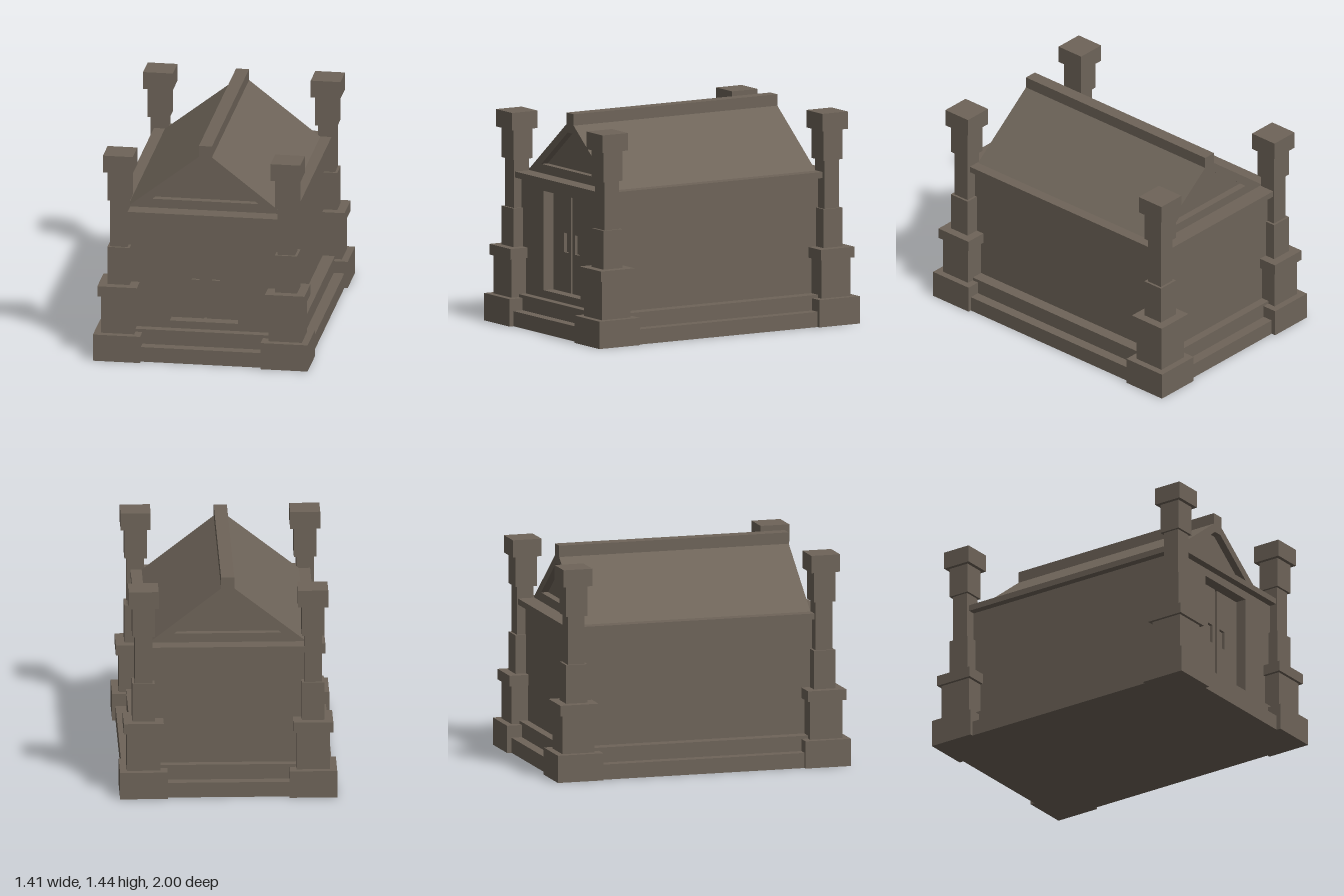
import * as THREE from 'three';

export function createModel() {
  const model = new THREE.Group();
  model.name = 'mausoleum';
  const stone = new THREE.MeshStandardMaterial({ color: 0x6e6459 });
  stone.name = 'weathered stone';

  function add(name, geometry, parent = model) {
    const mesh = new THREE.Mesh(geometry, stone);
    mesh.name = name;
    parent.add(mesh);
    return mesh;
  }
  // Box given by half width, y range and z range
  function block(name, hx, y0, y1, z0, z1, parent = model) {
    const mesh = add(name, new THREE.BoxGeometry(hx * 2, y1 - y0, z1 - z0), parent);
    mesh.position.set(0, (y0 + y1) / 2, (z0 + z1) / 2);
    return mesh;
  }
  const outline = (pts) => pts.map(([x, y]) => new THREE.Vector2(x, y));
  const rect = (x0, x1, y0, y1) => outline([[x0, y0], [x1, y0], [x1, y1], [x0, y1]]);
  // Upright plate with optional holes, from z0 to z1
  function plate(name, points, holes, z0, z1) {
    const shape = new THREE.Shape(points);
    for (const hole of holes) shape.holes.push(new THREE.Path(hole));
    const geometry = new THREE.ExtrudeGeometry(shape, { depth: z1 - z0, bevelEnabled: false });
    add(name, geometry).position.z = z0;
  }

  // Stepped plinth
  block('lowerStep', 0.685, 0, 0.1, -0.97, 0.97);
  block('upperStep', 0.615, 0.1, 0.2, -0.9, 0.9);

  // Chamber, with the doorway cut through the front wall
  const wallX = 0.535;
  block('chamber', wallX, 0.2, 0.96, -0.845, 0.75);
  plate('frontWall', rect(-wallX, wallX, 0.2, 0.96), [rect(-0.225, 0.225, 0.25, 0.905)], 0.75, 0.845);

  // Double doors with a gap between them and sunken handles
  for (const s of [-1, 1]) {
    const [a, b] = s < 0 ? [-0.225, -0.01] : [0.01, 0.225];
    const [c, d] = s < 0 ? [-0.093, -0.04] : [0.04, 0.093];
    plate(s < 0 ? 'rightDoor' : 'leftDoor', rect(a, b, 0.25, 0.905), [rect(c, d, 0.513, 0.64)], 0.75, 0.77);
  }

  // Cornice, gabled roof and ridge
  block('cornice', 0.585, 0.96, 1.0, -0.895, 0.895);
  const gable = outline([[-0.512, 1.0], [0.512, 1.0], [0.043, 1.365], [-0.043, 1.365]]);
  const panel = outline([[-0.35, 1.06], [0.35, 1.06], [0.03, 1.31], [-0.03, 1.31]]);
  plate('roof', gable, [], -0.735, 0.735);
  plate('frontPediment', gable, [panel], 0.735, 0.783);
  plate('backPediment', gable, [panel], -0.783, -0.735);
  block('ridge', 0.043, 1.365, 1.44, -0.783, 0.783);

  // Corner pillars: half width, bottom, top of each tier
  const tiers = [
    ['pillarBase', 0.155, 0, 0.18],
    ['pillarPedestal', 0.11, 0.18, 0.435],
    ['pillarBand', 0.13, 0.435, 0.505],
    ['pillarLowerShaft', 0.073, 0.505, 0.76],
    ['pillarShaft', 0.057, 0.76, 1.08],
    ['pillarUpperShaft', 0.073, 1.08, 1.28],
    ['pillarCap', 0.098, 1.28, 1.395],
  ];
  for (const sx of [-1, 1]) {
    for (const sz of [-1, 1]) {
      const pillar = new THREE.Group();
      pillar.name = (sz > 0 ? 'front' : 'back') + (sx > 0 ? 'Left' : 'Right') + 'Pillar';
      for (const [name, h, y0, y1] of tiers) block(name, h, y0, y1, -h, h, pillar);
      pillar.position.set(sx * 0.552, 0, sz * 0.845);
      model.add(pillar);
    }
  }
  return model;
}
